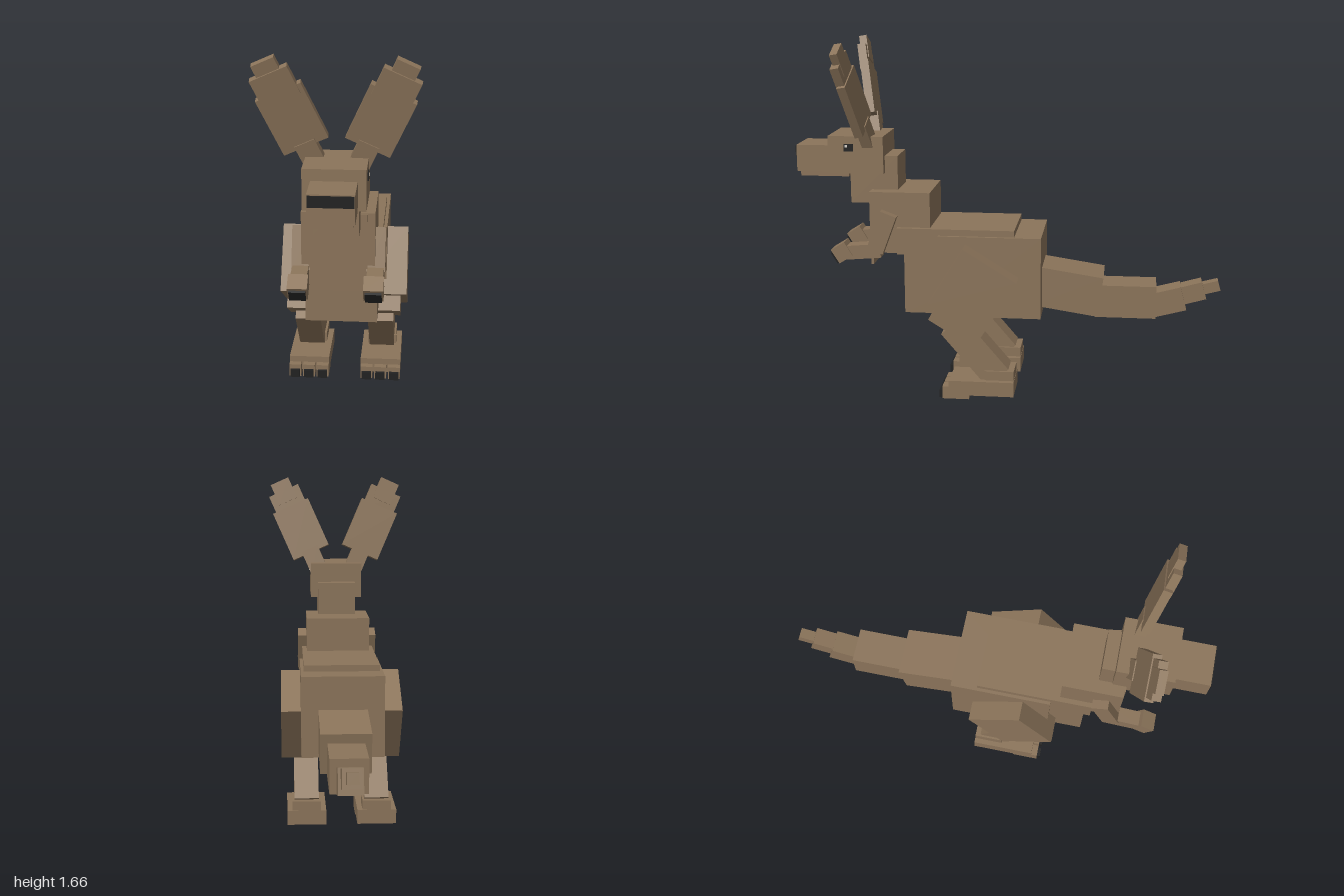
import * as THREE from 'three';

const mat = (name, color) => {
  const m = new THREE.MeshStandardMaterial({ color });
  m.name = name;
  return m;
};
const fur = mat('brown fur', 0x8b745a);
const black = mat('black', 0x222222);
const white = mat('eye glint', 0xd8d4cc);

// Box by centre and size, with optional pitch (degrees) about x
function box(parent, name, [x, y, z], [w, h, d], pitch = 0, material = fur) {
  const m = new THREE.Mesh(new THREE.BoxGeometry(w, h, d), material);
  m.name = name;
  m.position.set(x, y, z);
  m.rotation.x = THREE.MathUtils.degToRad(pitch);
  parent.add(m);
  return m;
}

// Upright box given by its lower and upper limits on each axis
function span(parent, name, [x0, x1], [y0, y1], [z0, z1], material = fur) {
  return box(parent, name, [(x0 + x1) / 2, (y0 + y1) / 2, (z0 + z1) / 2],
    [x1 - x0, y1 - y0, z1 - z0], 0, material);
}

function makeBody() {
  const g = new THREE.Group();
  g.name = 'body';
  span(g, 'hips', [-0.195, 0.195], [0.385, 0.77], [-0.165, 0.315]);
  span(g, 'belly', [-0.16, 0.16], [0.387, 0.675], [-0.1, 0.48]);
  span(g, 'back', [-0.18, 0.18], [0.675, 0.8], [-0.04, 0.51]);
  span(g, 'chest', [-0.157, 0.157], [0.675, 0.965], [0.355, 0.64]);
  span(g, 'chestFur', [-0.125, 0.125], [0.61, 0.96], [0.632, 0.645]);
  span(g, 'neck', [-0.095, 0.095], [0.9, 1.125], [0.515, 0.74]);
  return g;
}

function makeHead() {
  const g = new THREE.Group();
  g.name = 'head';
  span(g, 'skull', [-0.13, 0.13], [1.045, 1.22], [0.575, 0.835]);
  span(g, 'muzzle', [-0.095, 0.095], [1.046, 1.17], [0.8, 0.995]);
  span(g, 'jaw', [-0.085, 0.085], [1.022, 1.05], [0.75, 0.98]);
  span(g, 'nose', [-0.092, 0.092], [1.117, 1.165], [0.992, 1.0], black);
  for (const s of [-1, 1]) {
    box(g, 'eye', [s * 0.131, 1.167, 0.737], [0.008, 0.035, 0.044], 0, black);
    box(g, 'eyeGlint', [s * 0.133, 1.174, 0.748], [0.007, 0.011, 0.011], 0, white);

    // Ear leans outward and tips slightly forward
    const ear = new THREE.Group();
    ear.name = s > 0 ? 'leftEar' : 'rightEar';
    ear.position.set(s * 0.082, 1.17, 0.645);
    ear.rotation.set(0.19, 0, -s * 0.42, 'ZXY');
    box(ear, 'earStem', [0, 0.065, 0], [0.09, 0.13, 0.05]);
    box(ear, 'earBlade', [0, 0.243, 0], [0.2, 0.265, 0.04]);
    box(ear, 'earUpper', [0, 0.4, 0.006], [0.165, 0.13, 0.04]);
    box(ear, 'earTip', [0, 0.46, 0], [0.1, 0.115, 0.036]);
    g.add(ear);
  }
  return g;
}

function makeTail() {
  const g = new THREE.Group();
  g.name = 'tail';
  // y, z, width, height, length, pitch
  const segments = [
    [0.497, -0.29, 0.23, 0.19, 0.3, -8.6],
    [0.447, -0.557, 0.168, 0.155, 0.285, 0],
    [0.443, -0.755, 0.108, 0.115, 0.15, 15],
    [0.485, -0.865, 0.084, 0.085, 0.12, 16],
    [0.51, -0.945, 0.05, 0.05, 0.1, 15],
  ];
  for (const [y, z, w, h, d, p] of segments) box(g, 'tailSegment', [0, y, z], [w, h, d], p);
  return g;
}

function makeArm(s) {
  const g = new THREE.Group();
  g.name = s > 0 ? 'leftArm' : 'rightArm';
  box(g, 'upperArm', [s * 0.16, 0.78, 0.578], [0.08, 0.19, 0.08], -20.7);
  box(g, 'forearm', [s * 0.16, 0.686, 0.67], [0.07, 0.066, 0.17], 5);
  const hand = box(g, 'hand', [s * 0.158, 0.68, 0.768], [0.084, 0.075, 0.075], 32);
  box(hand, 'handClaws', [0, -0.004, 0.038], [0.07, 0.058, 0.02], 0, black);
  return g;
}

function makeLeg(s) {
  const g = new THREE.Group();
  g.name = s > 0 ? 'leftLeg' : 'rightLeg';
  box(g, 'thigh', [s * 0.167, 0.525, 0.145], [0.243, 0.315, 0.29], -31.8);
  box(g, 'knee', [s * 0.17, 0.43, 0.22], [0.18, 0.215, 0.18], -31.8);
  box(g, 'shin', [s * 0.169, 0.225, 0.14], [0.118, 0.33, 0.135], 40.5);
  box(g, 'foot', [s * 0.169, 0.055, 0.107], [0.188, 0.07, 0.305]);
  box(g, 'heel', [s * 0.169, 0.1, 0.025], [0.138, 0.07, 0.138]);
  for (const i of [-1, 0, 1]) {
    const x = s * 0.169 + i * 0.065;
    box(g, 'toe', [x, 0.031, 0.227], [0.056, 0.06, 0.126]);
    box(g, 'toeClaw', [x, 0.021, 0.286], [0.044, 0.036, 0.04], 0, black);
  }
  return g;
}

export function createModel() {
  const model = new THREE.Group();
  model.name = 'kangaroo';
  model.add(makeBody(), makeHead(), makeTail());
  for (const s of [-1, 1]) model.add(makeArm(s), makeLeg(s));
  return model;
}
